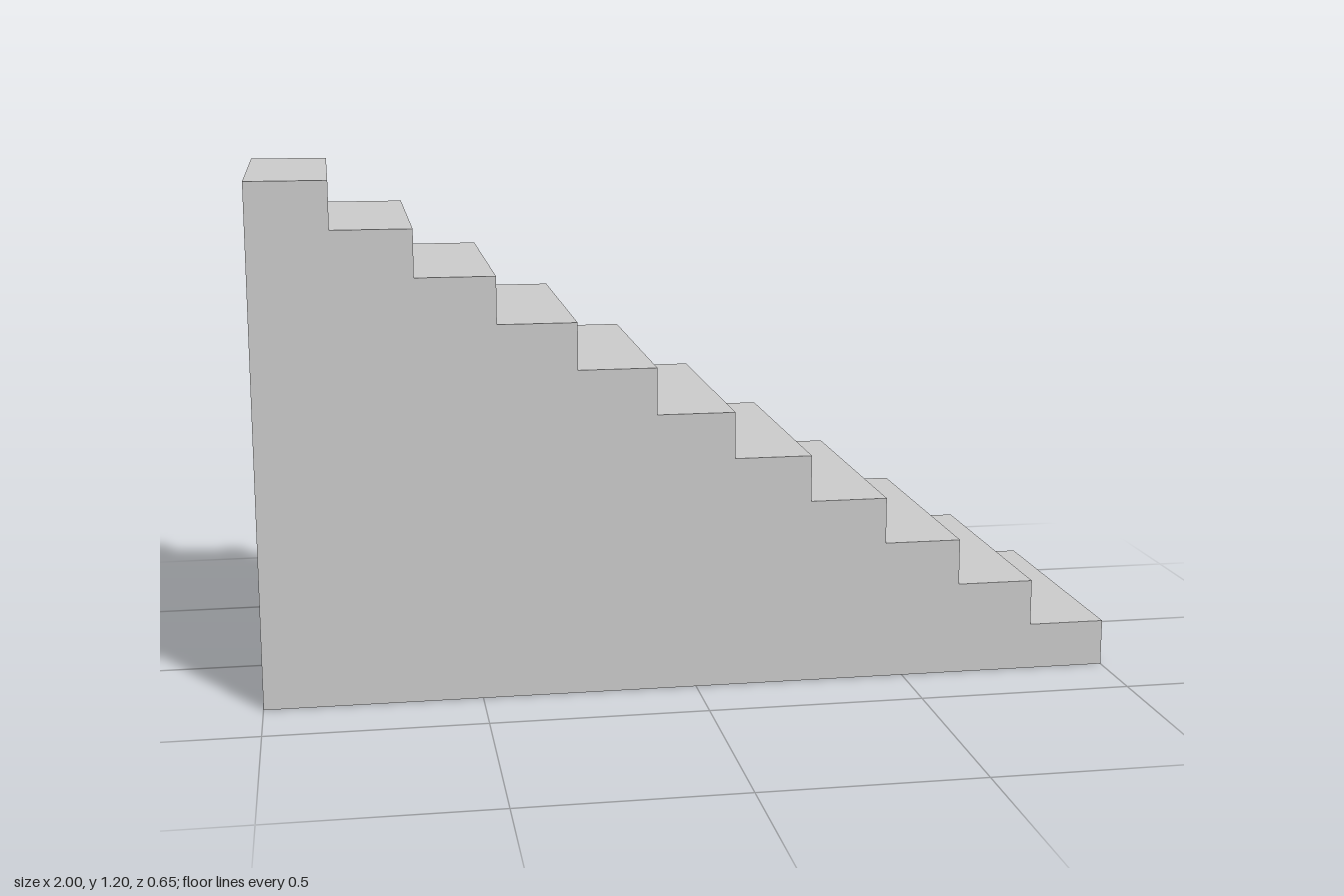
import * as THREE from 'three';

const STEPS = 11;
const LENGTH = 2;
const HEIGHT = 1.2;
const WIDTH = 0.655;

export function createModel() {
  const group = new THREE.Group();
  group.name = 'staircase';

  // Stepped side profile, climbing from the left (+x) to the right (-x)
  const tread = LENGTH / STEPS;
  const rise = HEIGHT / STEPS;
  const profile = new THREE.Shape();
  profile.moveTo(-LENGTH / 2, 0);
  profile.lineTo(LENGTH / 2, 0);
  for (let i = 0; i < STEPS; i++) {
    const x = LENGTH / 2 - i * tread;
    const y = (i + 1) * rise;
    profile.lineTo(x, y);
    profile.lineTo(x - tread, y);
  }
  profile.closePath();

  // Solid flight of stairs, centred across its width
  const geometry = new THREE.ExtrudeGeometry(profile, { depth: WIDTH, bevelEnabled: false });
  geometry.translate(0, 0, -WIDTH / 2);
  const stairs = new THREE.Mesh(
    geometry,
    new THREE.MeshStandardMaterial({ color: 0xcccccc, flatShading: true })
  );
  stairs.name = 'solidStairs';
  group.add(stairs);

  return group;
}
